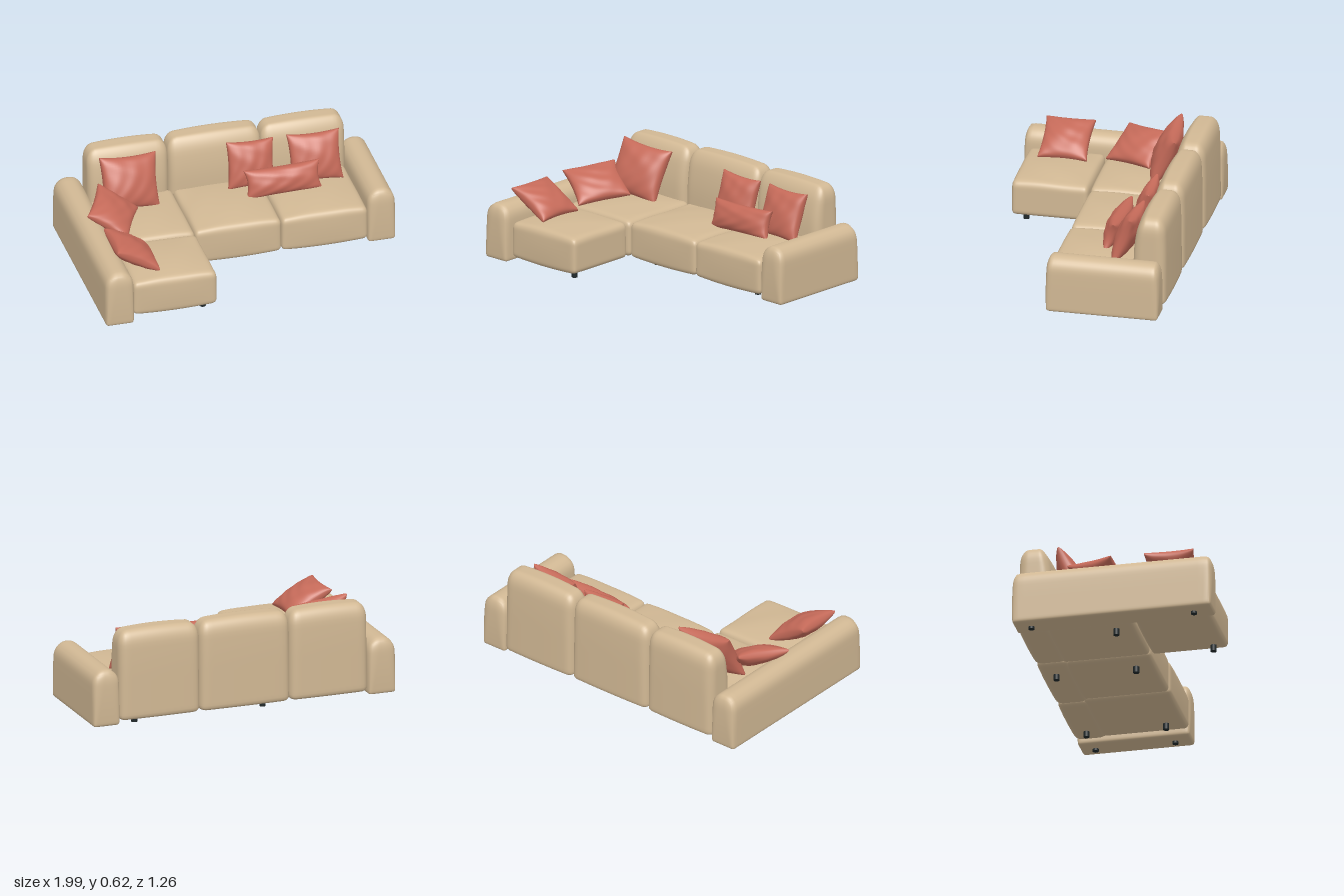
import * as THREE from 'three';
import { mergeVertices } from 'three/addons/utils/BufferGeometryUtils.js';

const fabric = new THREE.MeshStandardMaterial({ color: 0xd1b894 });
fabric.name = 'beige fabric';
const terracotta = new THREE.MeshStandardMaterial({ color: 0xc56a59 });
terracotta.name = 'terracotta fabric';
const dark = new THREE.MeshStandardMaterial({ color: 0x20282a });
dark.name = 'dark leg';

const { clamp, lerp } = THREE.MathUtils;

// Moves every vertex of a 2 x 2 x 2 subdivided box by a rule and smooths the result
function deformedBox(nx, ny, nz, rule) {
  let geo = new THREE.BoxGeometry(2, 2, 2, nx, ny, nz);
  geo.deleteAttribute('uv');
  geo.deleteAttribute('normal');
  const pos = geo.attributes.position;
  const p = new THREE.Vector3();
  for (let i = 0; i < pos.count; i++) {
    p.fromBufferAttribute(pos, i);
    rule(p);
    pos.setXYZ(i, p.x, p.y, p.z);
  }
  geo = mergeVertices(geo, 1e-5);
  geo.computeVertexNormals();
  return geo;
}

// Upholstered block between two corners; radii [x, y, z] blend from bottom to top
function softBlock(min, max, bottomR, topR, shape = () => {}) {
  const half = min.map((m, i) => (max[i] - m) / 2);
  const centre = min.map((m, i) => (max[i] + m) / 2);
  return deformedBox(24, 24, 24, (p) => {
    const s = p.toArray().map((v) => Math.sin(v * Math.PI / 2)); // denser near the edges
    const t = (s[1] + 1) / 2;
    const r = [lerp(bottomR[0], topR[0], t), s[1] > 0 ? topR[1] : bottomR[1], lerp(bottomR[2], topR[2], t)];
    const inner = s.map((v, i) => clamp(v * half[i], r[i] - half[i], half[i] - r[i]));
    const out = new THREE.Vector3(...s.map((v, i) => (v * half[i] - inner[i]) / r[i])).normalize().toArray();
    p.set(...inner.map((v, i) => v + out[i] * r[i]));
    shape(p, p.x / half[0], p.y / half[1], p.z / half[2]);
    p.add(new THREE.Vector3(...centre));
  });
}

// Throw pillow: pinched outline, puffed middle, thin seam, light creases
function pillowGeometry(w, h, t, seed) {
  return deformedBox(28, 28, 2, (p) => {
    const u = Math.sin(p.x * Math.PI / 2), v = Math.sin(p.y * Math.PI / 2);
    const puff = Math.pow(Math.max(0, (1 - u * u) * (1 - v * v)), 0.42);
    const crease = 0.004 * Math.sin(7 * u + 4 * v * v + seed) * Math.sin(5 * v - 3 * u + seed * 2);
    p.set(
      w / 2 * u * (1 - 0.08 * (1 - v * v)),
      h / 2 * v * (1 - 0.08 * (1 - u * u)),
      p.z * (0.004 + (t / 2) * puff) + crease * puff
    );
  });
}

export function createModel() {
  const root = new THREE.Group();
  root.name = 'cornerSofa';
  const add = (name, geo, mat) => {
    const mesh = new THREE.Mesh(geo, mat);
    mesh.name = name;
    root.add(mesh);
    return mesh;
  };

  // Arms: narrow blocks with rounded tops, the right one is longer
  const arms = [
    ['rightArm', -0.995, -0.815, -0.63, 0.625],
    ['leftArm', 0.82, 0.995, -0.622, 0.09],
  ];
  for (const [name, x0, x1, z0, z1] of arms) {
    const round = (p, u, v) => {
      p.x *= 1 - 0.06 * Math.max(0, v) ** 2;
      p.z += 0.006 * Math.sign(p.z) * (-v * v);
    };
    add(name, softBlock([x0, 0.015, z0], [x1, 0.372, z1], [0.02, 0.02, 0.02], [0.08, 0.09, 0.035], round), fabric);
  }

  // Back cushions: domed top, front leaning back, gently swollen faces
  const backs = [
    ['rightBack', -0.815, -0.302, 0.602],
    ['middleBack', -0.302, 0.29, 0.605],
    ['leftBack', 0.29, 0.822, 0.602],
  ];
  for (const [name, x0, x1, top] of backs) {
    const lean = (p, u, v, w) => {
      const across = 1 - u * u;
      p.y += 0.012 * across * Math.max(0, v);
      if (w > 0) p.z -= w * (0.045 * Math.max(0, v) ** 2 - 0.012 * across);
      else p.z += w * 0.006 * across - w * 0.01 * Math.max(0, v) ** 2;
    };
    add(name, softBlock([x0, 0.035, -0.625], [x1, top, -0.425], [0.045, 0.03, 0.05], [0.06, 0.09, 0.06], lean), fabric);
  }

  // Seat cushions, including the chaise in front of the right seat
  const seats = [
    ['rightSeat', -0.815, -0.28, -0.46, 0.088],
    ['middleSeat', -0.28, 0.27, -0.46, 0.085],
    ['leftSeat', 0.27, 0.818, -0.46, 0.088],
    ['chaiseSeat', -0.81, -0.278, 0.102, 0.58],
  ];
  for (const [name, x0, x1, z0, z1] of seats) {
    const swell = (p, u, v, w) => {
      const dome = (1 - u * u) * (1 - w * w);
      p.y += v > 0 ? v * (0.02 * dome + 0.006 * (1 - u * u)) : v * 0.01 * (1 - u * u);
      p.z += w * 0.006 * (1 - u * u) * (1 - v * v);
      p.y += 0.0015 * Math.max(0, v) * Math.sin(26 * p.x + 17 * p.z) * (0.3 + u * u);
    };
    add(name, softBlock([x0, 0.046, z0], [x1, 0.27, z1], [0.03, 0.03, 0.025], [0.035, 0.04, 0.03], swell), fabric);
  }

  // Throw pillows: width, height, thickness, centre, facing direction, up direction
  const pillows = [
    ['cornerPillow', 0.37, 0.34, 0.14, [-0.585, 0.437, -0.33], [0.12, 0.42, 0.9], [0.03, 0.9, -0.42]],
    ['armPillow', 0.29, 0.34, 0.11, [-0.75, 0.37, -0.12], [0.037, 0.073, 0.026], [0.14, 0.03, -0.28]],
    ['chaisePillow', 0.31, 0.31, 0.12, [-0.755, 0.37, 0.337], [0.5, 0.86, 0], [0, 0, -1]],
    ['middlePillow', 0.3, 0.3, 0.11, [0.197, 0.42, -0.372], [0.03, 0.28, 0.95], [0.03, 0.95, -0.28]],
    ['leftPillow', 0.33, 0.31, 0.12, [0.6, 0.42, -0.35], [-0.05, 0.35, 0.93], [0, 0.93, -0.35]],
    ['lumbarPillow', 0.48, 0.18, 0.12, [0.365, 0.36, -0.235], [-0.03, 0.3, 0.95], [-0.03, 0.95, -0.3]],
  ];
  pillows.forEach(([name, w, h, t, centre, facing, up], i) => {
    const mesh = add(name, pillowGeometry(w, h, t, i * 1.7), terracotta);
    const z = new THREE.Vector3(...facing).normalize();
    const x = new THREE.Vector3(...up).cross(z).normalize();
    const y = z.clone().cross(x);
    mesh.quaternion.setFromRotationMatrix(new THREE.Matrix4().makeBasis(x, y, z));
    mesh.position.set(...centre);
  });

  // Legs under the seats and short feet under the arms
  const legs = [[-0.71, -0.03], [-0.15, -0.03], [-0.15, -0.53], [0.695, -0.03], [0.695, -0.53], [-0.35, 0.5]];
  const feet = [[-0.905, -0.52], [-0.905, 0.5], [0.91, -0.52], [0.91, -0.02]];
  const addLegs = (name, spots, height) => {
    for (const [x, z] of spots) {
      add(name, new THREE.CylinderGeometry(0.019, 0.019, height, 20), dark).position.set(x, height / 2, z);
    }
  };
  addLegs('seatLeg', legs, 0.055);
  addLegs('armFoot', feet, 0.025);

  return root;
}
